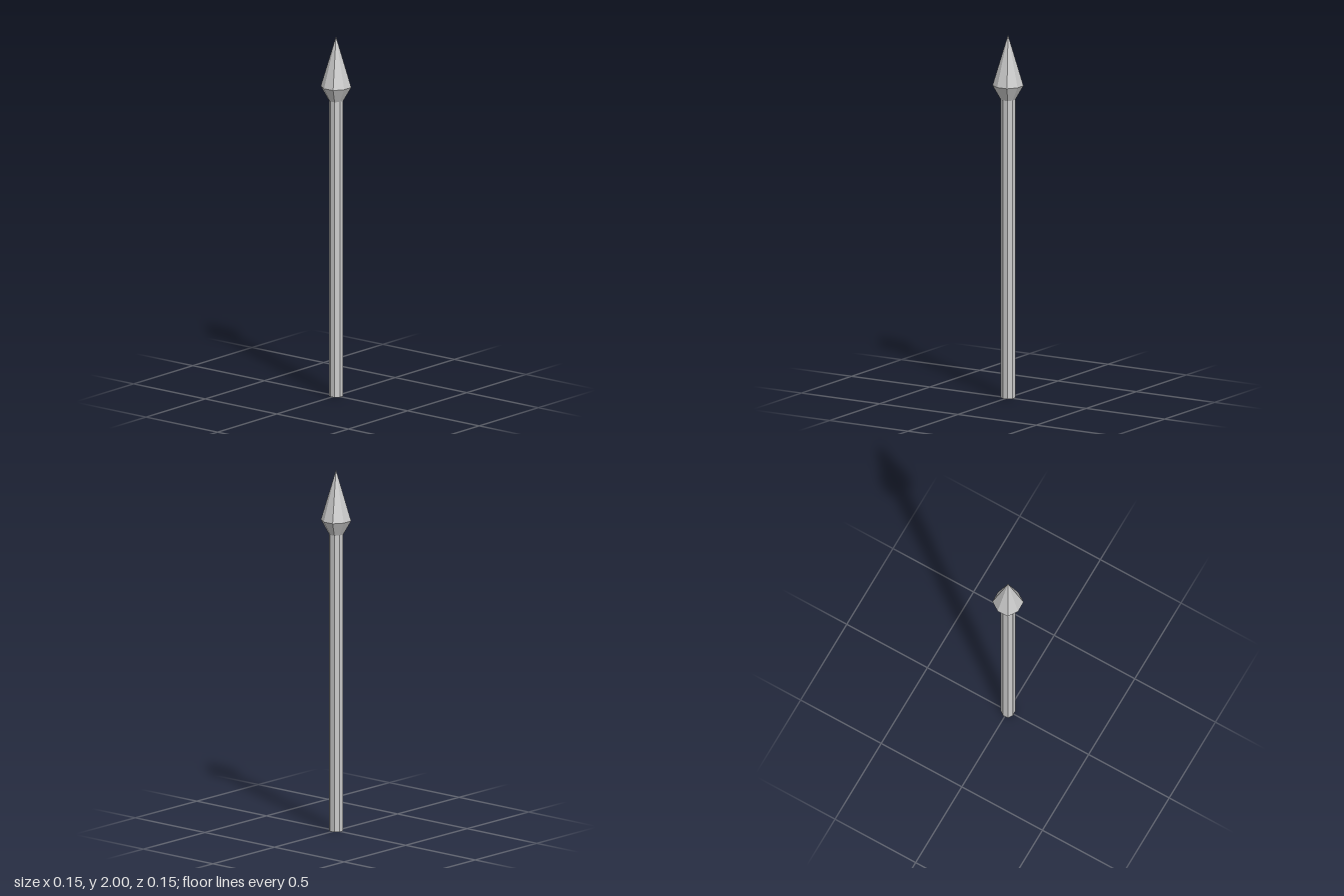
import * as THREE from 'three';

const SIDES = 8;
const START = THREE.MathUtils.degToRad(118.9);
const SHAFT_R = 0.0395;
const HEAD_R = 0.0835;

// Eight-sided faceted solid of revolution, every other edge drawn slightly inward
function faceted(name, profile, material) {
  const points = profile.map(([r, y]) => new THREE.Vector2(r, y));
  const geometry = new THREE.LatheGeometry(points, SIDES, START);
  const pos = geometry.attributes.position;
  for (let i = 0; i < pos.count; i++) {
    const column = Math.floor(i / points.length);
    const s = column % 2 ? 0.935 : 1;
    pos.setXYZ(i, pos.getX(i) * s, pos.getY(i), pos.getZ(i) * s);
  }
  geometry.computeVertexNormals();
  const mesh = new THREE.Mesh(geometry, material);
  mesh.name = name;
  return mesh;
}

export function createModel() {
  const group = new THREE.Group();
  group.name = 'spear';
  const material = new THREE.MeshStandardMaterial({ color: 0xcccccc, flatShading: true });

  // Straight pole with a closed foot
  group.add(faceted('shaft', [[0, 0], [SHAFT_R, 0], [SHAFT_R, 1.643]], material));

  // Point: short flared collar below a long tapering tip
  group.add(faceted('spearhead', [[SHAFT_R, 1.643], [HEAD_R, 1.72], [0, 2]], material));

  return group;
}
